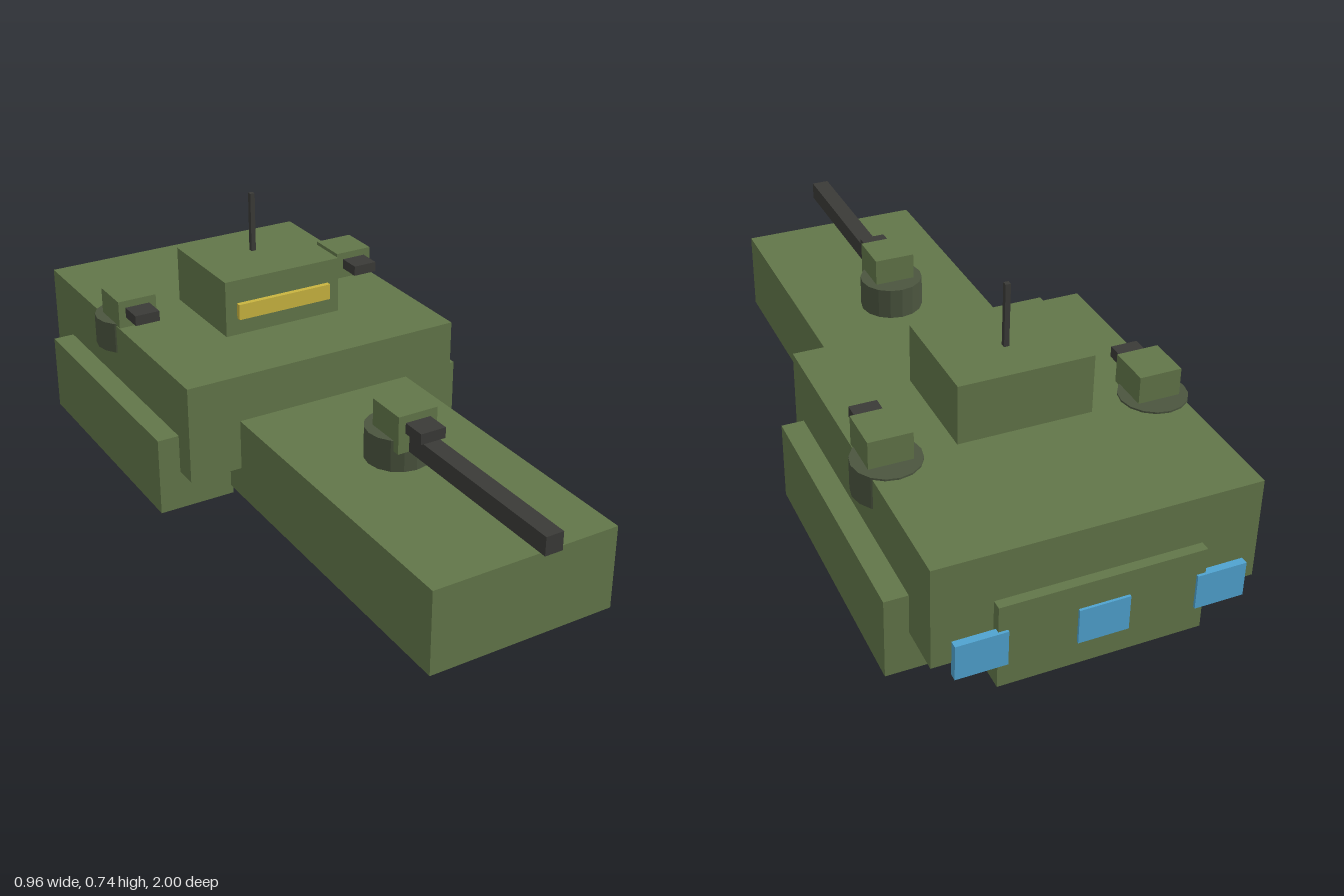
import * as THREE from 'three';

export function createModel() {
  const model = new THREE.Group();
  const paint = (name, color) => {
    const m = new THREE.MeshStandardMaterial({ color });
    m.name = name;
    return m;
  };
  const olive = paint('olive hull', 0x627649);
  const darkOlive = paint('dark olive ring', 0x4b553f);
  const gunmetal = paint('gunmetal', 0x3a3a37);
  const amber = paint('amber window', 0xc9b440);
  const blue = paint('blue engine glow', 0x4fa3d0);
  darkOlive.flatShading = true;

  // Box given by its minimum and maximum on each axis
  const box = (parent, name, mat, [x0, x1], [y0, y1], [z0, z1]) => {
    const mesh = new THREE.Mesh(new THREE.BoxGeometry(x1 - x0, y1 - y0, z1 - z0), mat);
    mesh.position.set((x0 + x1) / 2, (y0 + y1) / 2, (z0 + z1) / 2);
    mesh.name = name;
    parent.add(mesh);
  };

  // Main body
  box(model, 'hull', olive, [-0.267, 0.267], [0.025, 0.26], [-0.993, 0.913]);
  box(model, 'superstructure', olive, [-0.42, 0.42], [0.114, 0.395], [-0.967, -0.015]);

  // Command tower
  box(model, 'tower', olive, [-0.182, 0.182], [0.395, 0.56], [-0.56, -0.253]);
  box(model, 'towerWindow', amber, [-0.147, 0.147], [0.445, 0.491], [-0.253, -0.238]);
  box(model, 'antenna', gunmetal, [-0.007, 0.007], [0.56, 0.735], [-0.44, -0.426]);

  // Turret: ring, head and short muzzle, with its origin at the foot of the ring
  const turret = (name, x, y, z) => {
    const group = new THREE.Group();
    group.name = name;
    const ring = new THREE.Mesh(new THREE.CylinderGeometry(0.09, 0.09, 0.09, 16), darkOlive);
    ring.name = 'turretRing';
    ring.position.y = 0.045;
    group.add(ring);
    box(group, 'turretHead', olive, [-0.058, 0.058], [0.06, 0.166], [-0.032, 0.089]);
    box(group, 'muzzle', gunmetal, [-0.037, 0.037], [0.115, 0.145], [0.089, 0.158]);
    group.position.set(x, y, z);
    model.add(group);
    return group;
  };
  const bow = turret('bowTurret', 0, 0.26, 0.356);
  box(bow, 'longBarrel', gunmetal, [-0.025, 0.025], [0.06, 0.111], [0.089, 0.644]);

  // Mirrored side pods, side turrets and outer engines
  for (const s of [-1, 1]) {
    const side = s > 0 ? 'left' : 'right';
    const span = (a, b) => (s > 0 ? [a, b] : [-b, -a]);
    box(model, side + 'Pod', olive, span(0.26, 0.482), [0, 0.225], [-0.839, -0.083]);
    turret(side + 'Turret', s * 0.36, 0.31, -0.548);
    box(model, side + 'Engine', blue, span(0.243, 0.375), [0.092, 0.19], [-1, -0.98]);
  }
  box(model, 'centreEngine', blue, [-0.066, 0.066], [0.092, 0.19], [-1, -0.98]);

  return model;
}
